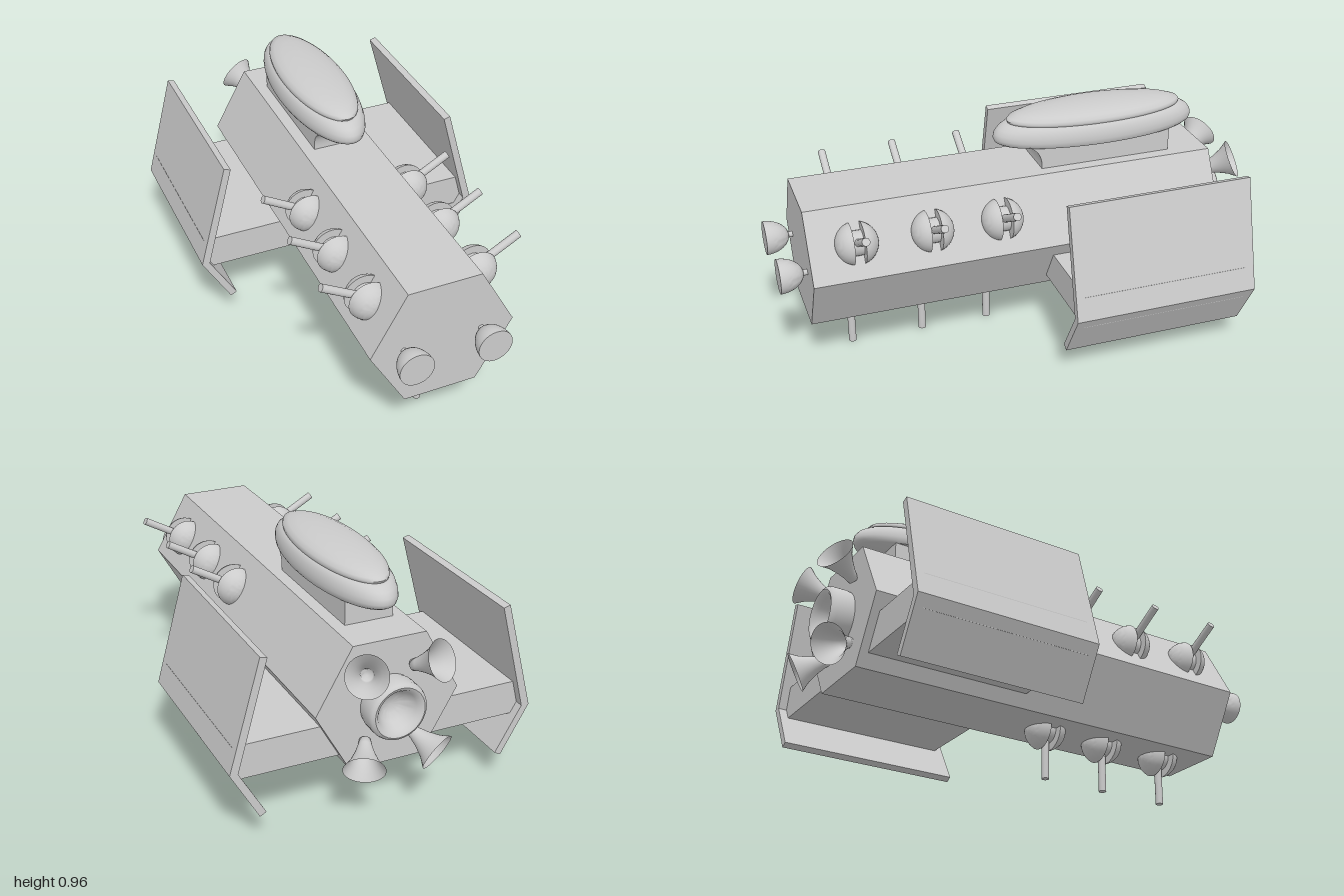
import * as THREE from 'three';
import { toCreasedNormals } from 'three/addons/utils/BufferGeometryUtils.js';

const grey = new THREE.MeshStandardMaterial({ color: 0xcccccc });
const greyOpen = new THREE.MeshStandardMaterial({ color: 0xcccccc, side: THREE.DoubleSide });
const UP = new THREE.Vector3(0, 1, 0);

function add(parent, name, geometry, x = 0, y = 0, z = 0, material = grey) {
  const mesh = new THREE.Mesh(geometry, material);
  mesh.name = name;
  mesh.position.set(x, y, z);
  parent.add(mesh);
  return mesh;
}

const vectors = (pts) => pts.map(([x, y]) => new THREE.Vector2(x, y));

const lathe = (pts, segments = 40) =>
  toCreasedNormals(new THREE.LatheGeometry(vectors(pts), segments), 0.7);

// Outline in x/y pulled along z from z0 to z1
function prism(pts, z0, z1) {
  const geo = new THREE.ExtrudeGeometry(new THREE.Shape(vectors(pts)), { depth: z1 - z0, bevelEnabled: false });
  return geo.translate(0, 0, z0);
}

// Split ball with a barrel in the slot; local +y points away from the hull
function makeTurret() {
  const turret = new THREE.Group();
  turret.name = 'turret';
  const R = 0.086, gap = 0.022;
  const cap = [[0, gap]];
  const start = Math.asin(gap / R);
  for (let i = 0; i <= 12; i++) {
    const a = start + (Math.PI / 2 - start) * (i / 12);
    cap.push([R * Math.cos(a), R * Math.sin(a)]);
  }
  const capGeo = lathe(cap, 32);
  for (const side of [1, -1]) {
    add(turret, 'turretHalf', capGeo).rotation.x = side * Math.PI / 2;
  }
  add(turret, 'turretCore', new THREE.CylinderGeometry(0.05, 0.05, 2 * gap, 24)).rotation.x = Math.PI / 2;
  add(turret, 'barrel', new THREE.CylinderGeometry(0.016, 0.016, 0.212, 16), 0, 0.106, 0);
  return turret;
}

export function createModel() {
  const ship = new THREE.Group();
  ship.name = 'spaceship';

  // Hexagonal hull
  add(ship, 'hull', prism(
    [[0.295, 0.467], [0.15, 0.725], [-0.15, 0.725], [-0.295, 0.467], [-0.15, 0.212], [0.15, 0.212]], -0.845, 0.885));

  // Cross beam carrying the side shields
  add(ship, 'wingBeam', new THREE.BoxGeometry(1.21, 0.14, 0.7), 0, 0.335, -0.46);

  // Bent side shields
  for (const s of [1, -1]) {
    const outline = [[0.63, 0.31], [0.508, 0.76], [0.48, 0.752], [0.597, 0.31], [0.489, 0.122], [0.515, 0.108]];
    if (s > 0) outline.reverse();
    add(ship, 'sideShield', prism(outline.map(([x, y]) => [s * x, y]), -0.845, -0.073));
  }

  // Three rows of turrets: both upper flanks and the belly
  const rows = [[0.224, 0.594, -1.055], [-0.224, 0.594, 1.055], [0, 0.212, Math.PI]];
  for (const [x, y, roll] of rows) {
    for (const z of [0.695, 0.39, 0.1]) {
      const turret = makeTurret();
      turret.position.set(x, y, z);
      turret.rotation.z = roll;
      ship.add(turret);
    }
  }

  // Front dishes: flat face forward, round side towards the hull
  const dish = [];
  for (let i = 0; i <= 12; i++) {
    const a = (i / 12) * Math.PI / 2;
    dish.push([0.07 * Math.sin(a), -0.1 * Math.cos(a)]);
  }
  dish.push([0, 0]);
  const dishGeo = lathe(dish);
  for (const s of [1, -1]) {
    add(ship, 'frontDish', dishGeo, s * 0.16, 0.465, 1).rotation.x = Math.PI / 2;
    add(ship, 'dishStem', new THREE.CylinderGeometry(0.012, 0.012, 0.06, 12), s * 0.16, 0.465, 0.895)
      .rotation.x = Math.PI / 2;
  }

  // Neck with a curved overhang at its front, drawn in z/y and extruded across x
  const neck = new THREE.Shape();
  neck.moveTo(-0.68, 0.7);
  neck.lineTo(-0.115, 0.7);
  neck.lineTo(-0.115, 0.735);
  neck.quadraticCurveTo(-0.115, 0.8, -0.06, 0.825);
  neck.lineTo(-0.68, 0.825);
  const neckGeo = new THREE.ExtrudeGeometry(neck, { depth: 0.2, bevelEnabled: false });
  neckGeo.translate(0, 0, -0.1).rotateY(-Math.PI / 2);
  add(ship, 'neck', toCreasedNormals(neckGeo, 0.6));

  // Oval bridge: wide lower rim and a domed roof
  const rim = new THREE.LatheGeometry(vectors(
    [[0, 0.82], [0.95, 0.82], [0.985, 0.829], [1, 0.845], [0.99, 0.865], [0.955, 0.885], [0.9, 0.9], [0.84, 0.907], [0, 0.907]]), 64);
  const roof = new THREE.LatheGeometry(vectors(
    [[0, 0.9], [0.82, 0.9], [0.86, 0.906], [0.868, 0.915], [0.85, 0.925], [0.76, 0.938], [0.6, 0.949], [0.35, 0.957], [0, 0.96]]), 64);
  for (const [name, geo] of [['bridgeRim', rim], ['bridgeRoof', roof]]) {
    geo.scale(0.151, 1, 0.44);
    add(ship, name, toCreasedNormals(geo, 0.9), 0, 0, -0.378);
  }

  // Main engine: thick ring with a hollow bowl
  const engine = lathe([
    [0.112, -0.01], [0.118, 0.02], [0.118, 0.075], [0.113, 0.09], [0.102, 0.097],
    [0.09, 0.092], [0.078, 0.075], [0.06, 0.045], [0.035, 0.025], [0, 0.018]]);
  add(ship, 'mainEngine', engine, 0, 0.467, -0.843, greyOpen).rotation.x = -Math.PI / 2;

  // Four flared thrusters splayed outwards
  const nozzle = new THREE.LatheGeometry(vectors(
    [[0, -0.135], [0.022, -0.135], [0.026, -0.11], [0.037, -0.075], [0.055, -0.035], [0.08, 0]]), 32);
  for (const sx of [1, -1]) {
    for (const sy of [1, -1]) {
      const thruster = add(ship, 'thruster', nozzle, sx * 0.152, 0.467 + sy * 0.192, -0.96, greyOpen);
      thruster.quaternion.setFromUnitVectors(UP, new THREE.Vector3(sx * 0.45, sy * 0.45, -0.85).normalize());
    }
  }

  return ship;
}
